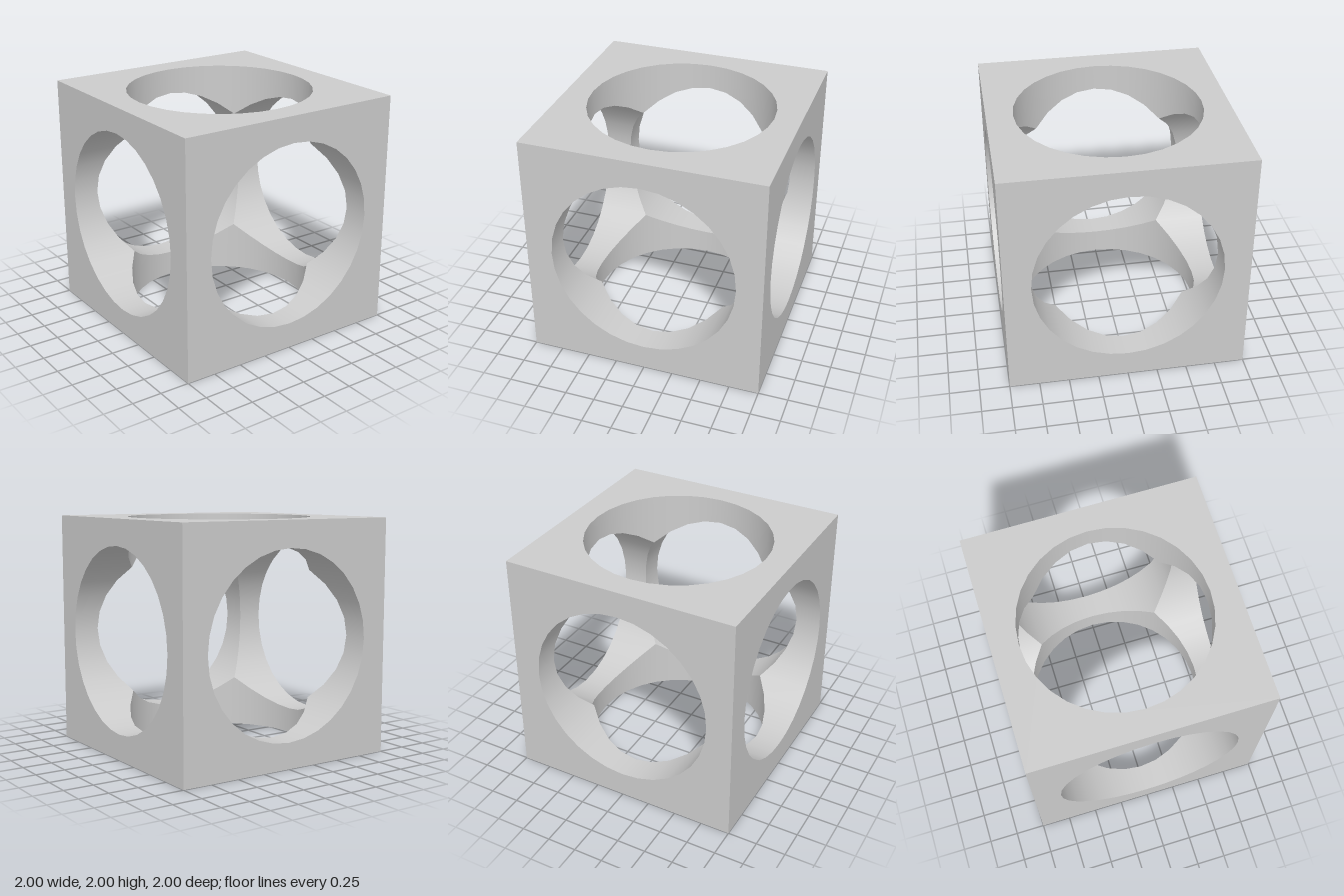
import * as THREE from 'three';

const HALF = 1;      // half the cube's side
const R = 0.78;      // bore radius
const SIDES = 32;    // sides of each bore

const ring = Array.from({ length: SIDES + 1 }, (_, i) => {
  const a = (i / SIDES) * Math.PI * 2;
  return new THREE.Vector2(Math.cos(a), Math.sin(a));
});

// Square plate with a round hole, facing +z
function faceGeometry() {
  const shape = new THREE.Shape([
    new THREE.Vector2(-HALF, -HALF), new THREE.Vector2(HALF, -HALF),
    new THREE.Vector2(HALF, HALF), new THREE.Vector2(-HALF, HALF),
  ]);
  const hole = ring.slice(0, SIDES).map((p) => p.clone().multiplyScalar(R));
  shape.holes.push(new THREE.Path(hole));
  return new THREE.ShapeGeometry(shape).translate(0, 0, HALF);
}

// Bore wall from the face inward to where it meets the two crossing bores,
// which lies at depth z = max(|x|, |y|)
function boreGeometry() {
  const positions = [], normals = [], index = [];
  ring.forEach((p, i) => {
    const x = p.x * R, y = p.y * R;
    positions.push(x, y, HALF, x, y, Math.max(Math.abs(x), Math.abs(y)));
    normals.push(-p.x, -p.y, 0, -p.x, -p.y, 0);
    if (i < SIDES) {
      const a = i * 2;
      index.push(a, a + 2, a + 1, a + 2, a + 3, a + 1);
    }
  });
  const g = new THREE.BufferGeometry();
  g.setAttribute('position', new THREE.Float32BufferAttribute(positions, 3));
  g.setAttribute('normal', new THREE.Float32BufferAttribute(normals, 3));
  g.setIndex(index);
  return g;
}

export function createModel() {
  const model = new THREE.Group();
  model.name = 'boredCube';
  const material = new THREE.MeshStandardMaterial({ color: 0xcccccc });
  const face = faceGeometry();
  const bore = boreGeometry();

  // Six identical sides turned about the cube's centre
  const q = Math.PI / 2;
  const sides = [
    ['front', 0, 0], ['left', 0, q], ['back', 0, 2 * q],
    ['right', 0, -q], ['top', -q, 0], ['bottom', q, 0],
  ];
  for (const [name, rx, ry] of sides) {
    const side = new THREE.Group();
    side.name = name + 'Side';
    const plate = new THREE.Mesh(face, material);
    plate.name = name + 'Face';
    const wall = new THREE.Mesh(bore, material);
    wall.name = name + 'BoreWall';
    side.add(plate, wall);
    side.rotation.set(rx, ry, 0);
    side.position.y = HALF;
    model.add(side);
  }
  return model;
}
